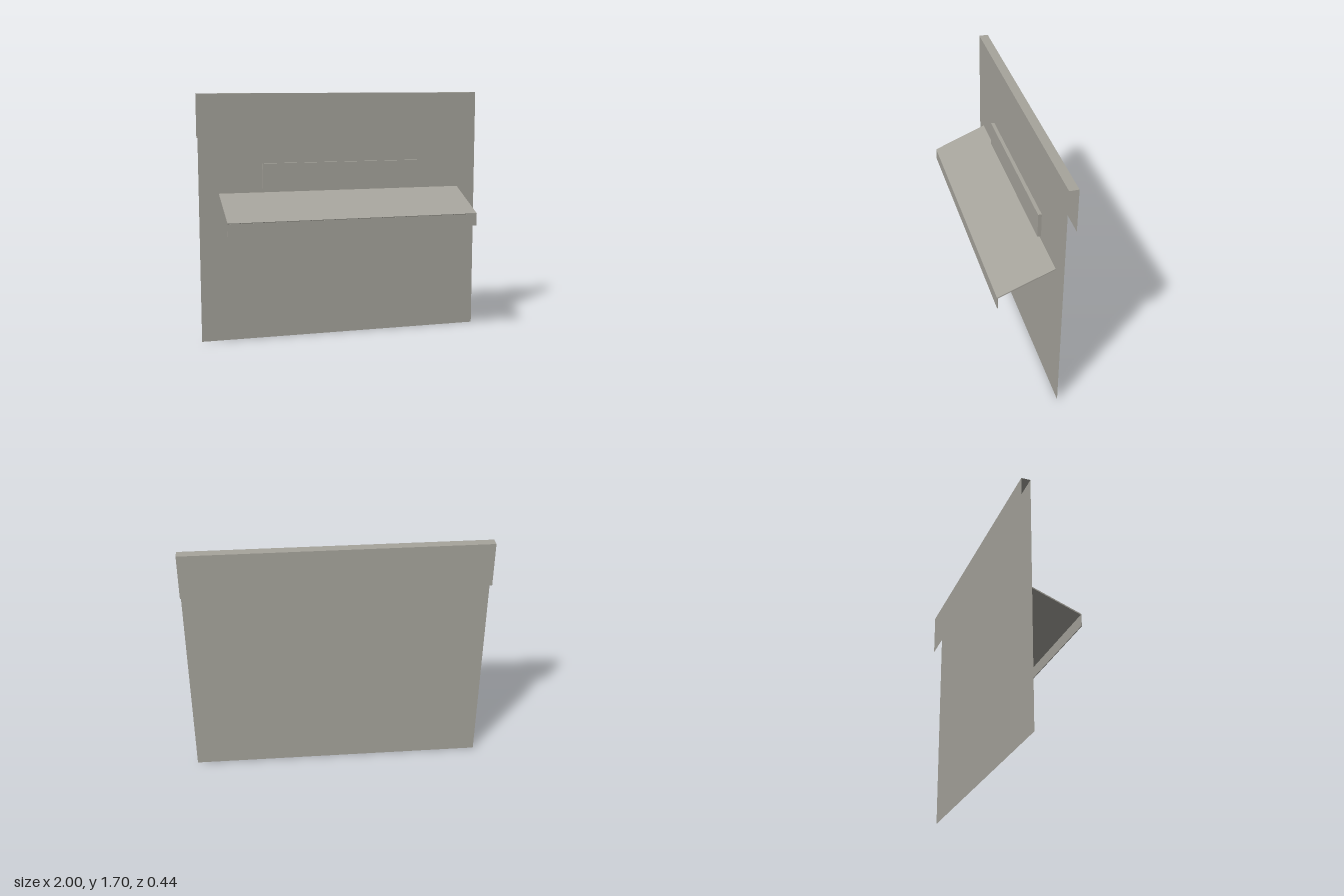
import * as THREE from 'three';

const grey = new THREE.MeshStandardMaterial({ color: 0xa6a49c, side: THREE.DoubleSide });
grey.name = 'warm grey';

function add(group, name, geometry) {
  const mesh = new THREE.Mesh(geometry, grey);
  mesh.name = name;
  group.add(mesh);
  return mesh;
}

// Solid of constant [z, y] profile, running the given width along x
function profileBar(points, width) {
  const shape = new THREE.Shape(points.map(([z, y]) => new THREE.Vector2(z, y)));
  const geometry = new THREE.ExtrudeGeometry(shape, { depth: width, bevelEnabled: false });
  return geometry.translate(0, 0, -width / 2).rotateY(-Math.PI / 2);
}

export function createModel() {
  const model = new THREE.Group();
  model.name = 'wallPanelWithShelf';

  const width = 2, height = 1.7, frontZ = -0.158, backZ = -0.22, flapHeight = 0.3;

  // Sheet folded over at the top: front face, top strip and short back flap
  const panel = new THREE.Group();
  panel.name = 'foldedPanel';
  add(panel, 'panelFront', new THREE.PlaneGeometry(width, height))
    .position.set(0, height / 2, frontZ);
  add(panel, 'panelTop', new THREE.PlaneGeometry(width, frontZ - backZ).rotateX(-Math.PI / 2))
    .position.set(0, height, (frontZ + backZ) / 2);
  add(panel, 'backFlap', new THREE.PlaneGeometry(width, flapHeight).rotateY(Math.PI))
    .position.set(0, height - flapHeight / 2, backZ);
  model.add(panel);

  // Raised bar above the shelf
  add(model, 'raisedBar', new THREE.BoxGeometry(1.13, 0.173, 0.024))
    .position.set(0, 1.139, -0.139);

  // Sloping shelf and its hanging front lip
  const shelf = new THREE.Group();
  shelf.name = 'shelf';
  add(shelf, 'slopingShelf', profileBar(
    [[-0.151, 1.017], [0.217, 0.868], [0.22, 0.876], [-0.151, 1.026]], 1.73));
  add(shelf, 'frontLip', profileBar(
    [[0.215, 0.79], [0.22, 0.79], [0.22, 0.872], [0.215, 0.872]], 1.73));
  model.add(shelf);

  return model;
}
